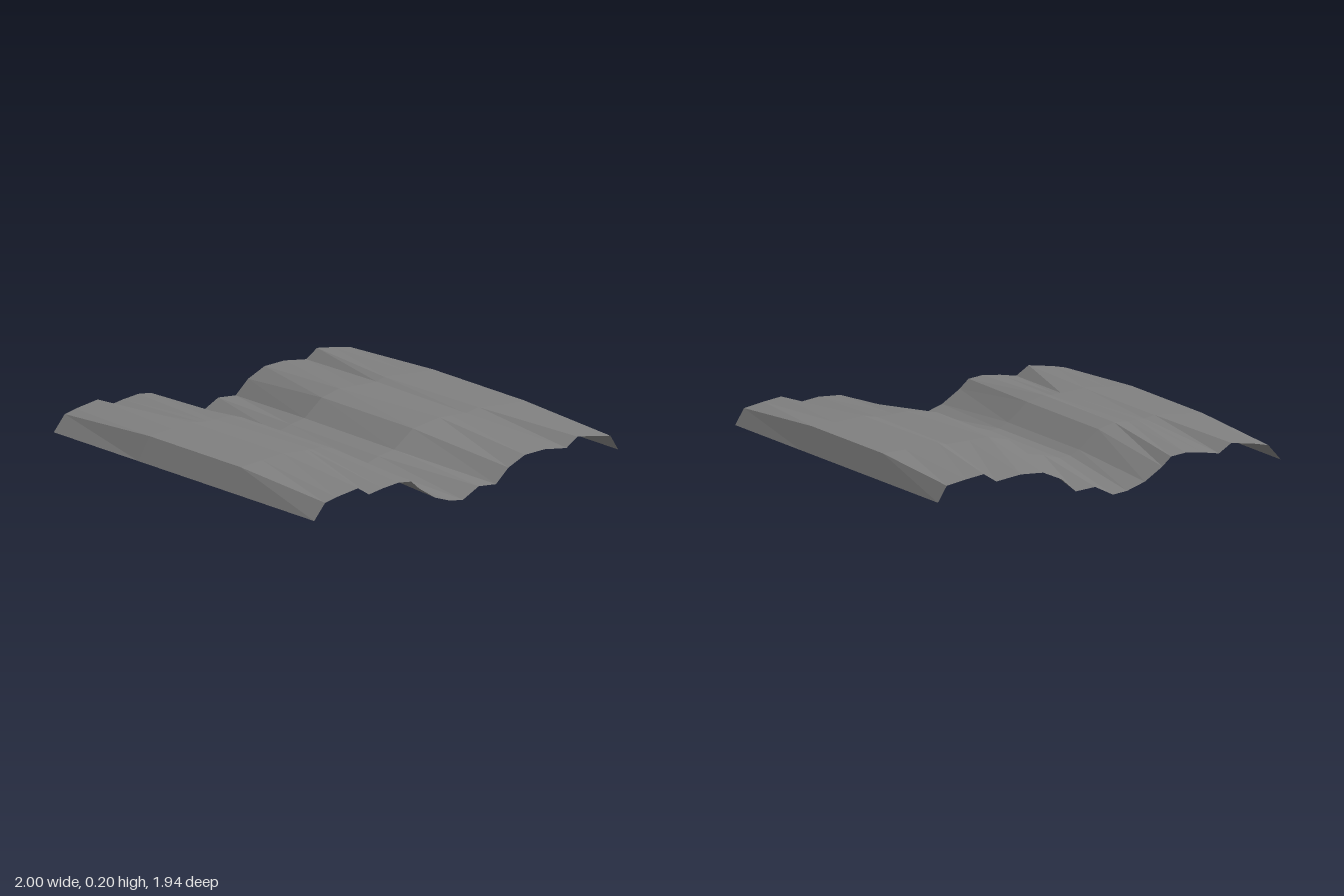
import * as THREE from 'three';

// Cross-section rows from back to front:
// [edge z, edge y, middle-left z, middle-right z, middle y]
const ROWS = [
  [-0.97, 0.07, -0.97, -0.97, 0.07],
  [-0.92, 0.15, -0.91, -0.91, 0.185],
  [-0.81, 0.17, -0.78, -0.78, 0.19],
  [-0.71, 0.185, -0.60, -0.62, 0.205],
  [-0.64, 0.14, -0.55, -0.54, 0.19],
  [-0.50, 0.16, -0.42, -0.45, 0.195],
  [-0.375, 0.155, -0.31, -0.37, 0.2],
  [-0.27, 0.11, -0.20, -0.20, 0.175],
  [-0.19, 0.04, -0.09, -0.08, 0.09],
  [-0.08, 0.05, 0.0, 0.02, 0.075],
  [0.02, 0.0, 0.09, 0.1, 0.05],
  [0.10, 0.01, 0.15, 0.15, 0.055],
  [0.20, 0.045, 0.20, 0.20, 0.08],
  [0.30, 0.11, 0.31, 0.31, 0.17],
  [0.35, 0.155, 0.40, 0.40, 0.195],
  [0.43, 0.165, 0.48, 0.44, 0.19],
  [0.53, 0.155, 0.53, 0.47, 0.193],
  [0.62, 0.14, 0.57, 0.50, 0.194],
  [0.69, 0.185, 0.63, 0.63, 0.205],
  [0.83, 0.165, 0.76, 0.76, 0.195],
  [0.90, 0.15, 0.90, 0.90, 0.185],
  [0.97, 0.07, 0.97, 0.97, 0.07],
];

// Loft a sheet through four columns: two outer edges and two raised inner lines
function sheetGeometry() {
  const positions = [];
  const indices = [];
  ROWS.forEach(([ze, ye, zl, zr, ym], i) => {
    positions.push(-1, ye, ze, -0.35, ym, zl, 0.35, ym, zr, 1, ye, ze);
    if (i === ROWS.length - 1) return;
    for (let j = 0; j < 3; j++) {
      const a = i * 4 + j;
      const b = a + 4;
      indices.push(a, b, b + 1, a, b + 1, a + 1);
    }
  });
  const geometry = new THREE.BufferGeometry();
  geometry.setAttribute('position', new THREE.Float32BufferAttribute(positions, 3));
  geometry.setIndex(indices);
  const flat = geometry.toNonIndexed();
  flat.computeVertexNormals();
  return flat;
}

export function createModel() {
  const stoneGrey = new THREE.MeshStandardMaterial({
    color: 0x808080, flatShading: true, side: THREE.DoubleSide,
  });
  stoneGrey.name = 'stone grey';

  const group = new THREE.Group();
  group.name = 'terrainTile';
  const sheet = new THREE.Mesh(sheetGeometry(), stoneGrey);
  sheet.name = 'valleySurface';
  group.add(sheet);
  return group;
}
